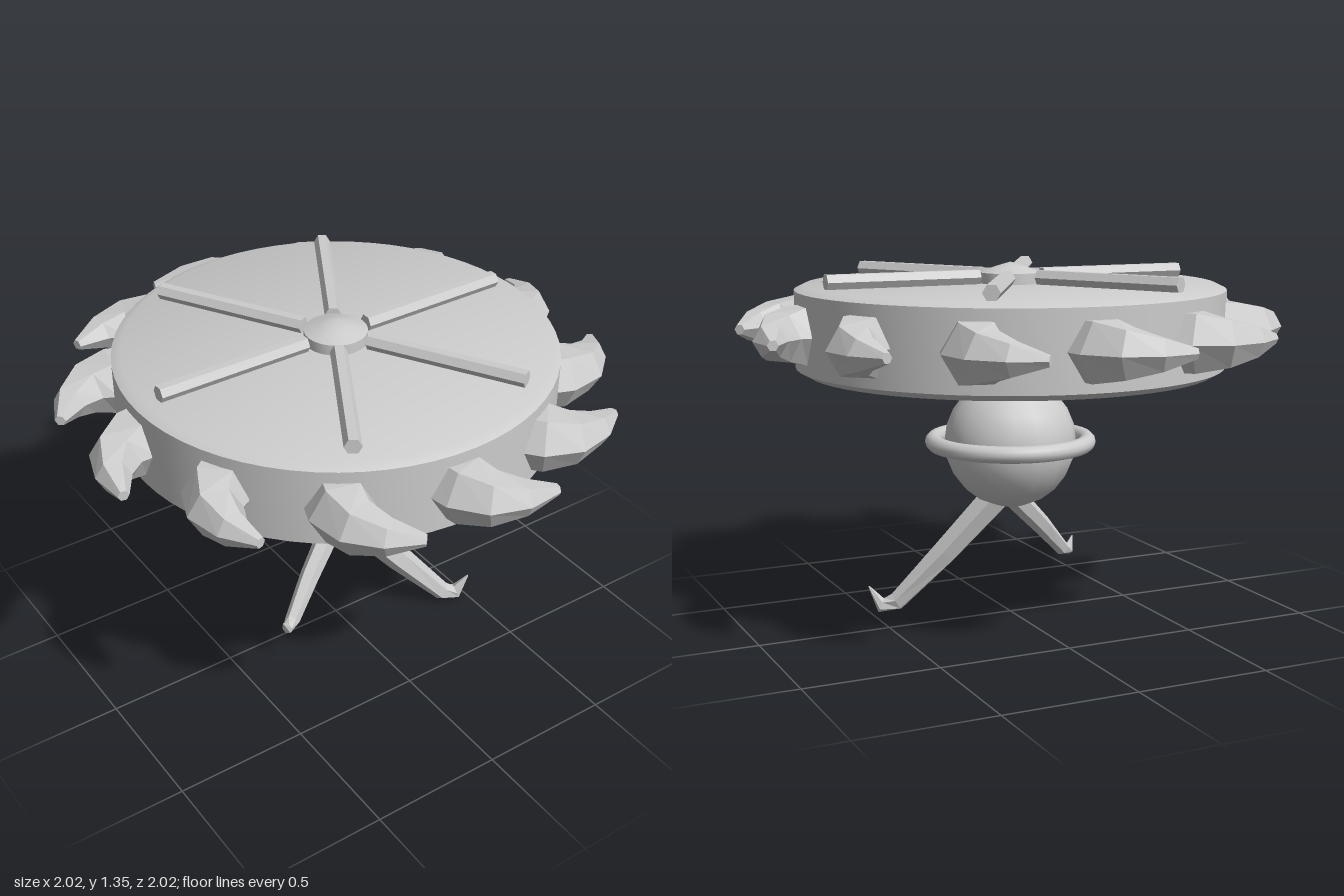
import * as THREE from 'three';
import { toCreasedNormals } from 'three/addons/utils/BufferGeometryUtils.js';

const V = (x, y, z) => new THREE.Vector3(x, y, z);

// Faceted tapered limb: hexagonal rings swept along a path, capped at both ends
function taperedLimb(path, radii, ref, sides = 6) {
  const pos = [];
  const rings = path.map((p, i) => {
    const dirIn = path[i].clone().sub(path[Math.max(i - 1, 0)]).normalize();
    const dirOut = path[Math.min(i + 1, path.length - 1)].clone().sub(p).normalize();
    const t = dirIn.add(dirOut).normalize();
    const n = ref.clone().cross(t).normalize();
    const b = t.clone().cross(n);
    return Array.from({ length: sides }, (_, j) => {
      const a = (j / sides) * Math.PI * 2;
      return p.clone().addScaledVector(n, Math.cos(a) * radii[i]).addScaledVector(b, Math.sin(a) * radii[i]);
    });
  });
  const tri = (...pts) => pts.forEach((q) => pos.push(q.x, q.y, q.z));
  const last = path.length - 1;
  for (let j = 0; j < sides; j++) {
    const k = (j + 1) % sides;
    for (let i = 0; i < last; i++) {
      tri(rings[i][j], rings[i][k], rings[i + 1][k]);
      tri(rings[i][j], rings[i + 1][k], rings[i + 1][j]);
    }
    tri(path[0], rings[0][k], rings[0][j]);
    tri(path[last], rings[last][j], rings[last][k]);
  }
  const geo = new THREE.BufferGeometry();
  geo.setAttribute('position', new THREE.Float32BufferAttribute(pos, 3));
  geo.computeVertexNormals();
  return geo;
}

// Turned part with crisp edges
function turned(profile, segments) {
  const pts = profile.map(([r, y]) => new THREE.Vector2(r, y));
  return toCreasedNormals(new THREE.LatheGeometry(pts, segments), 0.7);
}

export function createModel() {
  const model = new THREE.Group();
  const grey = new THREE.MeshStandardMaterial({ color: 0xcccccc });
  grey.name = 'light grey';
  const add = (name, geo) => {
    const mesh = new THREE.Mesh(geo, grey);
    mesh.name = name;
    model.add(mesh);
    return mesh;
  };

  // Wheel with bevelled rims
  add('wheelDisc', turned([[0, 0.957], [0.76, 0.957], [0.8, 0.98], [0.8, 1.265], [0.765, 1.282], [0, 1.282]], 64));

  // Centre hub with a shallow pointed cap
  add('hub', turned([[0.115, 1.27], [0.115, 1.322], [0.06, 1.342], [0, 1.36]], 24));

  // Six hexagonal spokes lying on the disc
  const spokeGeo = toCreasedNormals(new THREE.CylinderGeometry(0.031, 0.031, 0.59, 6), 0.3);
  spokeGeo.rotateZ(Math.PI / 2).translate(0.425, 1.307, 0);
  for (let i = 0; i < 6; i++) add('spoke', spokeGeo).rotation.y = (i * Math.PI) / 3;

  // Twelve curved claws around the rim
  const clawGeo = taperedLimb(
    [V(0.74, 1.12, 0.05), V(0.815, 1.12, 0.04), V(0.9, 1.12, -0.005), V(0.953, 1.12, -0.095), V(0.978, 1.12, -0.21)],
    [0.118, 0.118, 0.094, 0.062, 0.02],
    V(0, 1, 0)
  );
  for (let i = 0; i < 12; i++) add('rimClaw', clawGeo).rotation.y = (i * Math.PI) / 6;

  // Neck, ball and ring below the wheel
  add('neck', new THREE.CylinderGeometry(0.1, 0.1, 0.1, 24).translate(0, 0.925, 0));
  add('ball', new THREE.SphereGeometry(0.25, 16, 12).translate(0, 0.682, 0));
  add('ballRing', new THREE.TorusGeometry(0.292, 0.032, 12, 48).rotateX(Math.PI / 2).translate(0, 0.684, 0));

  // Two hooked legs, one long and one short
  const forward = V(0, 0, 1);
  add('longLeg', taperedLimb(
    [V(0.03, 0.5, 0), V(0.23, 0.25, 0.1), V(0.4, 0.052, 0.18), V(0.458, 0.037, 0.2), V(0.5, 0.113, 0.22)],
    [0.062, 0.052, 0.038, 0.029, 0.003], forward));
  add('shortLeg', taperedLimb(
    [V(-0.01, 0.47, 0), V(-0.17, 0.32, 0.07), V(-0.29, 0.2, 0.13), V(-0.328, 0.185, 0.15), V(-0.355, 0.235, 0.168)],
    [0.045, 0.038, 0.029, 0.021, 0.003], forward));

  return model;
}
